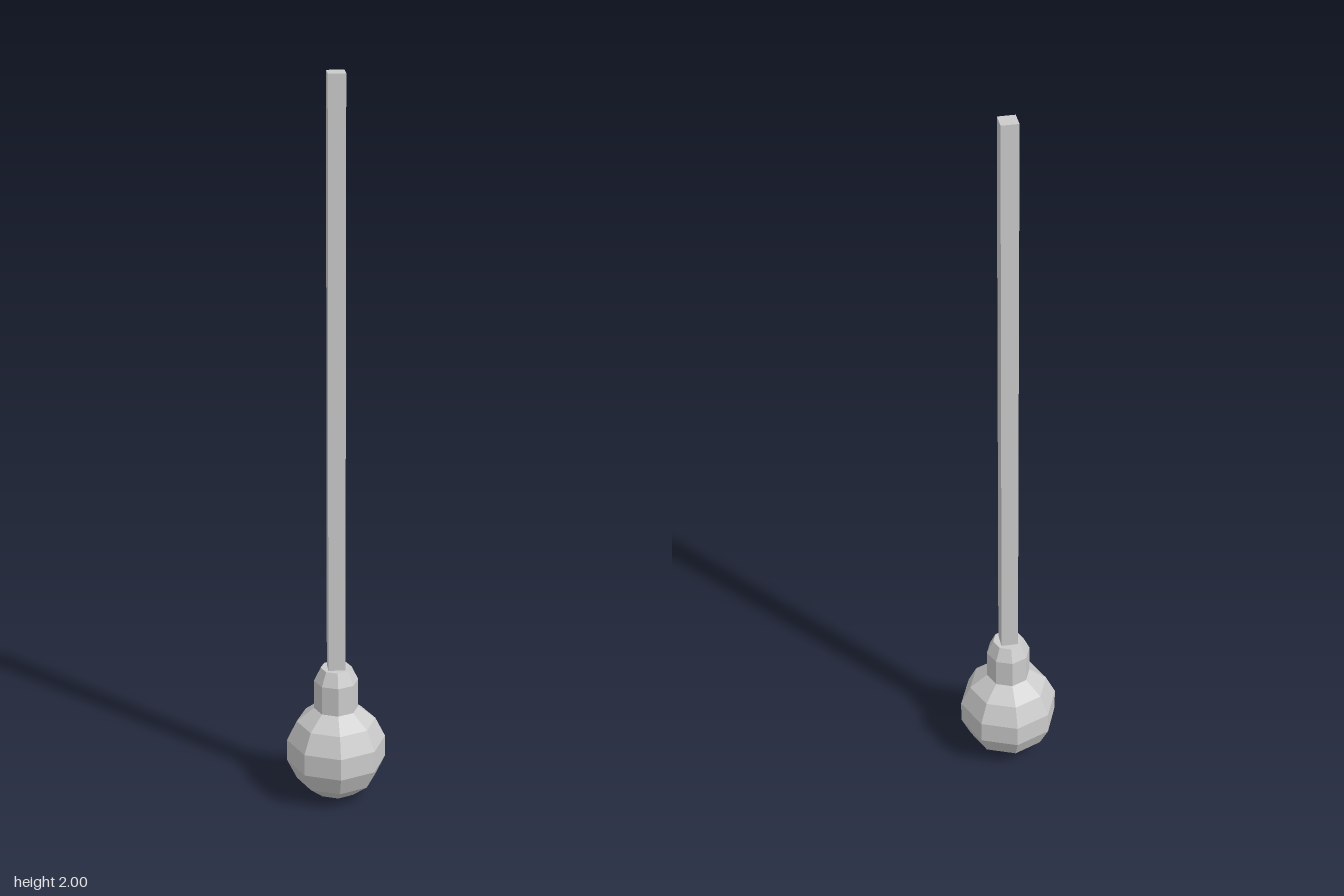
import * as THREE from 'three';

export function createModel() {
  const group = new THREE.Group();
  const material = new THREE.MeshStandardMaterial({ color: 0xcccccc, flatShading: true });
  const add = (name, geometry, y) => {
    const mesh = new THREE.Mesh(geometry, material);
    mesh.name = name;
    mesh.position.y = y;
    group.add(mesh);
  };

  // Faceted round bulb resting on the ground plane
  const R = 0.1375;
  add('bulb', new THREE.SphereGeometry(R, 8, 7), R);

  // Eight-sided socket with a chamfered shoulder
  const profile = [[0, 0.26], [0.06, 0.26], [0.06, 0.342], [0.042, 0.38], [0, 0.38]]
    .map(([r, y]) => new THREE.Vector2(r, y));
  add('socket', new THREE.LatheGeometry(profile, 8), 0);

  // Long square cord up to the ceiling
  const bottom = 0.375, top = 2;
  add('cord', new THREE.BoxGeometry(0.046, top - bottom, 0.046), (top + bottom) / 2);

  return group;
}
